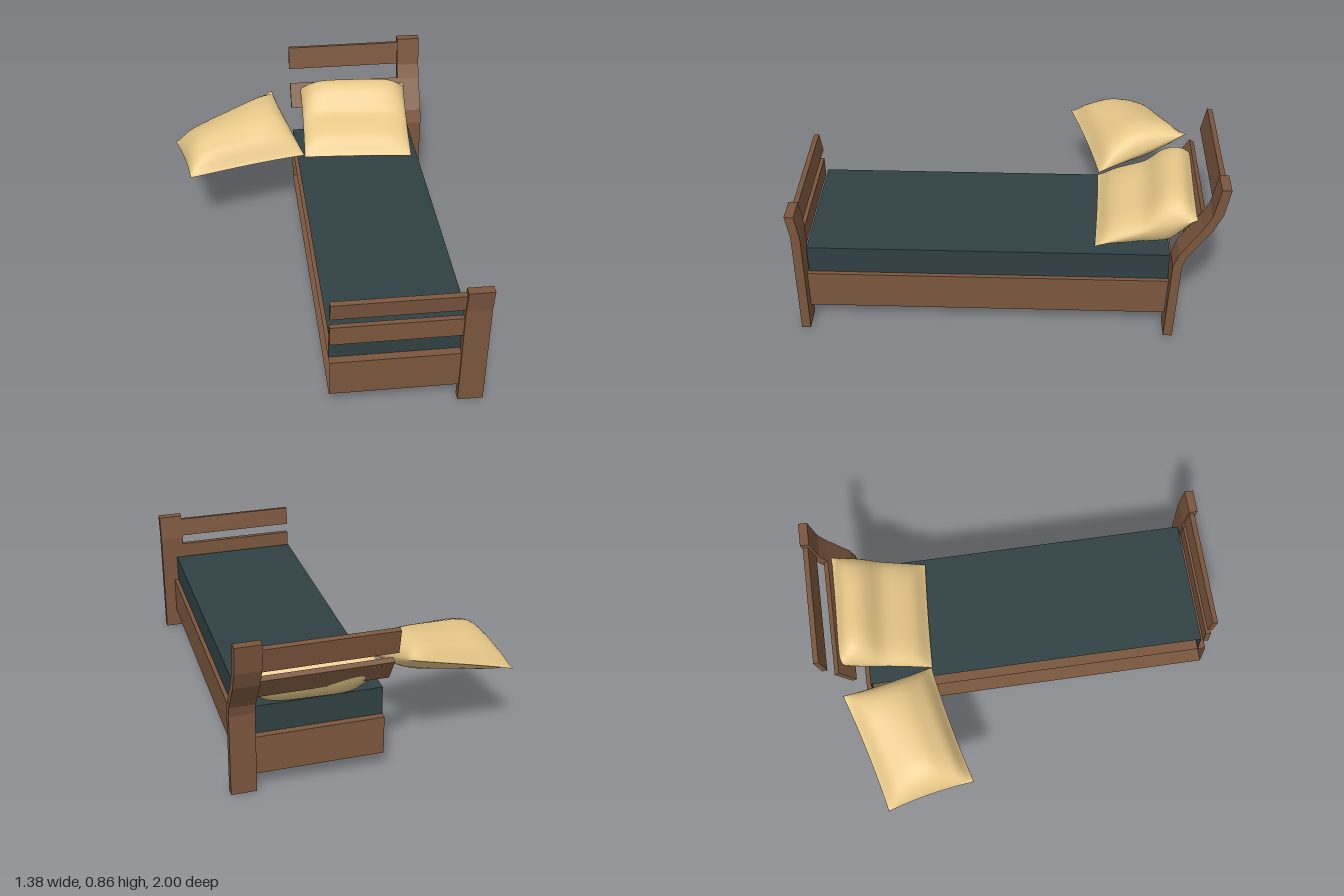
import * as THREE from 'three';
import { mergeVertices } from 'three/addons/utils/BufferGeometryUtils.js';

const wood = new THREE.MeshStandardMaterial({ color: 0x7a563d, side: THREE.DoubleSide });
const teal = new THREE.MeshStandardMaterial({ color: 0x2f4043, side: THREE.DoubleSide });
const cream = new THREE.MeshStandardMaterial({ color: 0xe8c98a, side: THREE.DoubleSide });

const INNER = -0.035; // cut plane on the open side of the half bed
const POST = 0.57;

export function createModel() {
  const bed = new THREE.Group();
  bed.name = 'halfBed';

  const add = (name, geometry, material) => {
    const mesh = new THREE.Mesh(geometry, material);
    mesh.name = name;
    bed.add(mesh);
  };

  // Side profile given as [z, y] points, extruded from x0 to x1
  const sideExtrude = (points, x0, x1) => {
    const shape = new THREE.Shape(points.map(([z, y]) => new THREE.Vector2(z, y)));
    return new THREE.ExtrudeGeometry(shape, { depth: x1 - x0, bevelEnabled: false })
      .rotateY(-Math.PI / 2)
      .translate(x1, 0, 0);
  };

  // Thin box shell without the listed faces (0 +x, 1 -x, 2 +y, 3 -y, 4 +z, 5 -z)
  const openBox = ([x0, y0, z0], [x1, y1, z1], removed) => {
    const g = new THREE.BoxGeometry(x1 - x0, y1 - y0, z1 - z0);
    const index = Array.from(g.index.array);
    g.setIndex(index.filter((_, i) => !removed.includes(Math.floor(i / 6))));
    g.clearGroups();
    return g.translate((x0 + x1) / 2, (y0 + y1) / 2, (z0 + z1) / 2);
  };

  // Box base and mattress, both open on the inner side
  add('bedBase', openBox([INNER, 0.093, -0.797], [0.63, 0.285, 0.972], [1]), wood);
  add('mattress', openBox([INNER, 0.286, -0.765], [0.61, 0.425, 0.932], [1, 3]), teal);

  // Curved posts
  add('footPost', sideExtrude([
    [0.937, 0], [0.98, 0], [0.98, 0.545], [0.998, 0.66], [0.955, 0.66], [0.937, 0.54],
  ], POST, 0.69), wood);
  add('headPost', sideExtrude([
    [-0.757, 0], [-0.772, 0.42], [-0.795, 0.49], [-0.84, 0.56], [-0.892, 0.64],
    [-0.927, 0.71], [-0.955, 0.855], [-0.998, 0.855], [-0.975, 0.72], [-0.935, 0.63],
    [-0.88, 0.55], [-0.83, 0.475], [-0.814, 0.42], [-0.80, 0],
  ], POST, 0.69), wood);

  // Slats, each from a lower to an upper [z, y] centre point
  const slats = [
    ['footSlatLower', [0.958, 0.395], [0.958, 0.495]],
    ['footSlatUpper', [0.958, 0.545], [0.972, 0.637]],
    ['headSlatLower', [-0.832, 0.525], [-0.905, 0.642]],
    ['headSlatUpper', [-0.953, 0.71], [-0.977, 0.828]],
  ];
  for (const [name, [z0, y0], [z1, y1]] of slats) {
    const length = Math.hypot(z1 - z0, y1 - y0);
    const dz = 0.013 * (y1 - y0) / length, dy = -0.013 * (z1 - z0) / length;
    add(name, sideExtrude([
      [z0 - dz, y0 - dy], [z0 + dz, y0 + dy], [z1 + dz, y1 + dy], [z1 - dz, y1 - dy],
    ], INNER, POST), wood);
  }

  // Pillow: a sheet between four corners, puffed up and down by front-to-back profiles
  const pillow = (corners, tops, bottoms, bow) => {
    const [fl, fr, br, bl] = corners.map((c) => new THREE.Vector3(...c));
    const curve = (values) => new THREE.SplineCurve(values.map((y, i) => new THREE.Vector2(i, y)));
    const N = 24, positions = [], indices = [];
    [curve(tops), curve(bottoms)].forEach((profile, side) => {
      const base = positions.length / 3;
      for (let j = 0; j <= N; j++) {
        for (let i = 0; i <= N; i++) {
          // Rows gather near the rim; edges bow in between the corners
          const a = Math.sin((i / N - 0.5) * Math.PI), b = Math.sin((j / N - 0.5) * Math.PI);
          const u = (a * (1 - bow * (1 - b * b)) + 1) / 2;
          const v = (b * (1 - bow * (1 - a * a)) + 1) / 2;
          const p = fl.clone().lerp(fr, u).lerp(bl.clone().lerp(br, u), v);
          const puff = Math.pow(Math.max(0, 1 - Math.pow(Math.abs(a), 5)), 0.6);
          p.y += profile.getPoint((b + 1) / 2).y * puff;
          positions.push(p.x, p.y, p.z);
        }
      }
      for (let j = 0; j < N; j++) {
        for (let i = 0; i < N; i++) {
          const k = base + j * (N + 1) + i, l = k + N + 1;
          if (side === 0) indices.push(k, k + 1, l, k + 1, l + 1, l);
          else indices.push(k, l, k + 1, k + 1, l, l + 1);
        }
      }
    });
    let g = new THREE.BufferGeometry();
    g.setAttribute('position', new THREE.Float32BufferAttribute(positions, 3));
    g.setIndex(indices);
    g = mergeVertices(g, 1e-5);
    g.computeVertexNormals();
    return g;
  };

  add('restingPillow', pillow(
    [[0, 0.45, -0.445], [0.575, 0.44, -0.415], [0.60, 0.62, -0.88], [0.02, 0.62, -0.91]],
    [0, 0.05, 0.062, 0.061, 0.065, 0.114, 0.122, 0.09, 0],
    [0, -0.03, -0.066, -0.09, -0.11, -0.132, -0.14, -0.09, 0], 0.015), cream);
  add('outerPillow', pillow(
    [[-0.615, 0.45, -0.315], [0, 0.46, -0.45], [-0.14, 0.61, -0.89], [-0.69, 0.405, -0.745]],
    [0, 0.08, 0.11, 0.13, 0.13, 0.12, 0.10, 0.07, 0],
    [0, -0.035, -0.05, -0.06, -0.07, -0.07, -0.06, -0.04, 0], 0.04), cream);

  return bed;
}
